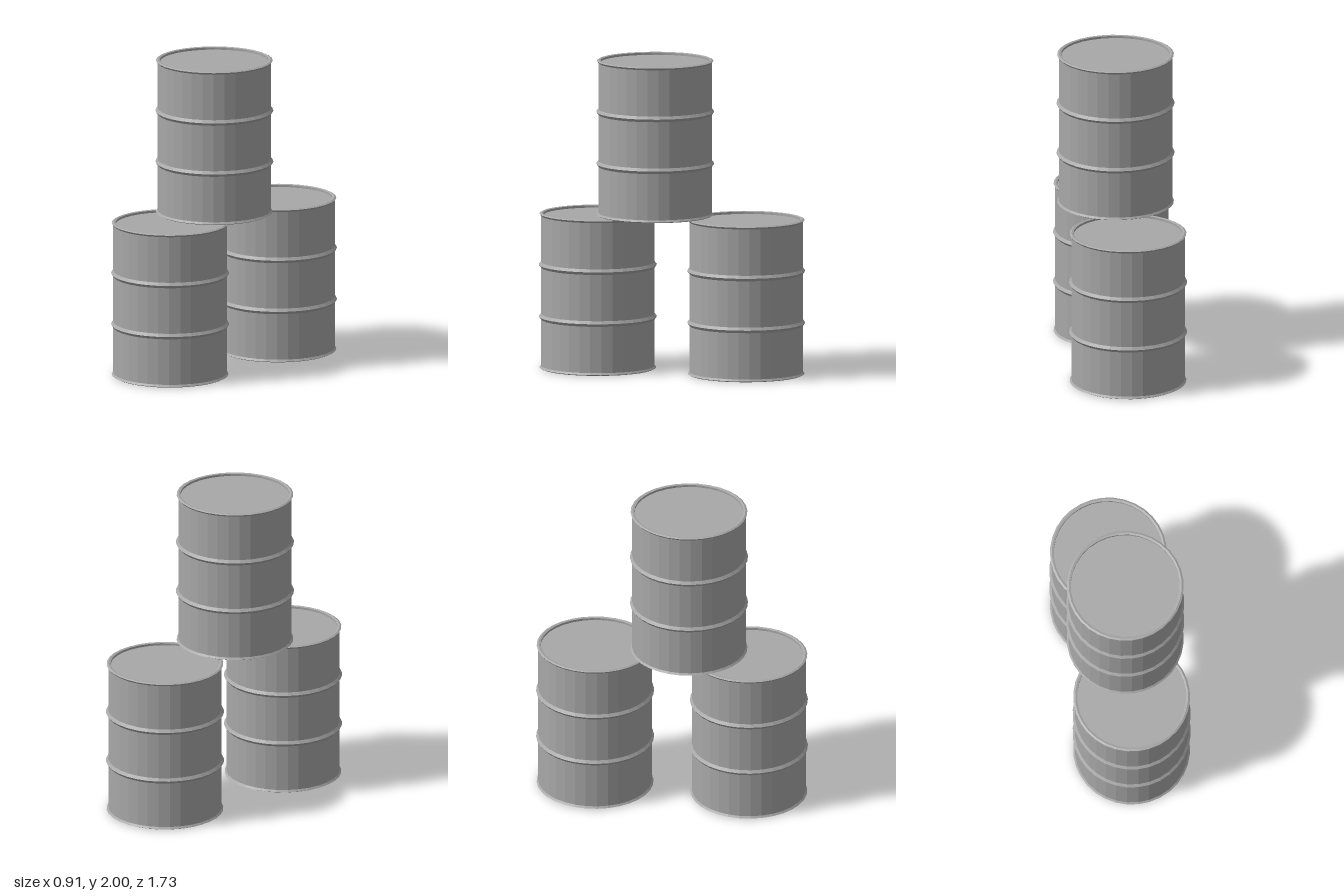
import * as THREE from 'three';

const SIDES = 32;
const BODY_R = 0.362, HOOP_R = 0.376, RIM_R = 0.372, LID_R = 0.347;

export function createModel() {
  const steel = new THREE.MeshStandardMaterial({ color: 0xa8a8a8, flatShading: true });
  steel.name = 'grey steel';

  const lathe = (points) =>
    new THREE.LatheGeometry(points.map(([r, y]) => new THREE.Vector2(r, y)), SIDES);

  // Ridge pressed out of the wall, as three profile points
  const hoop = (y) => [[BODY_R, y - 0.018], [HOOP_R, y], [BODY_R, y + 0.018]];

  // Wall from bottom rim to top rim, with two rolling hoops
  const shellGeometry = lathe([
    [LID_R, 0.018], [LID_R, 0.004], [0.36, 0], [RIM_R, 0.006], [BODY_R, 0.018],
    ...hoop(1 / 3), ...hoop(2 / 3),
    [BODY_R, 0.982], [RIM_R, 0.994], [0.36, 1], [LID_R, 0.996], [LID_R, 0.982],
  ]);
  // Recessed end discs
  const lidGeometry = lathe([[LID_R, 0.982], [0, 0.982]]);
  const baseGeometry = lathe([[0, 0.018], [LID_R, 0.018]]);

  const part = (name, geometry) => {
    const mesh = new THREE.Mesh(geometry, steel);
    mesh.name = name;
    return mesh;
  };

  const model = new THREE.Group();
  model.name = 'stackedDrums';

  const placements = [
    ['frontDrum', -0.08, 0, 0.487],
    ['backDrum', 0.08, 0, -0.487],
    ['topDrum', 0, 1, 0.108],
  ];
  for (const [name, x, y, z] of placements) {
    const drum = new THREE.Group();
    drum.name = name;
    drum.add(part('shell', shellGeometry), part('lid', lidGeometry), part('base', baseGeometry));
    drum.position.set(x, y, z);
    model.add(drum);
  }
  return model;
}
